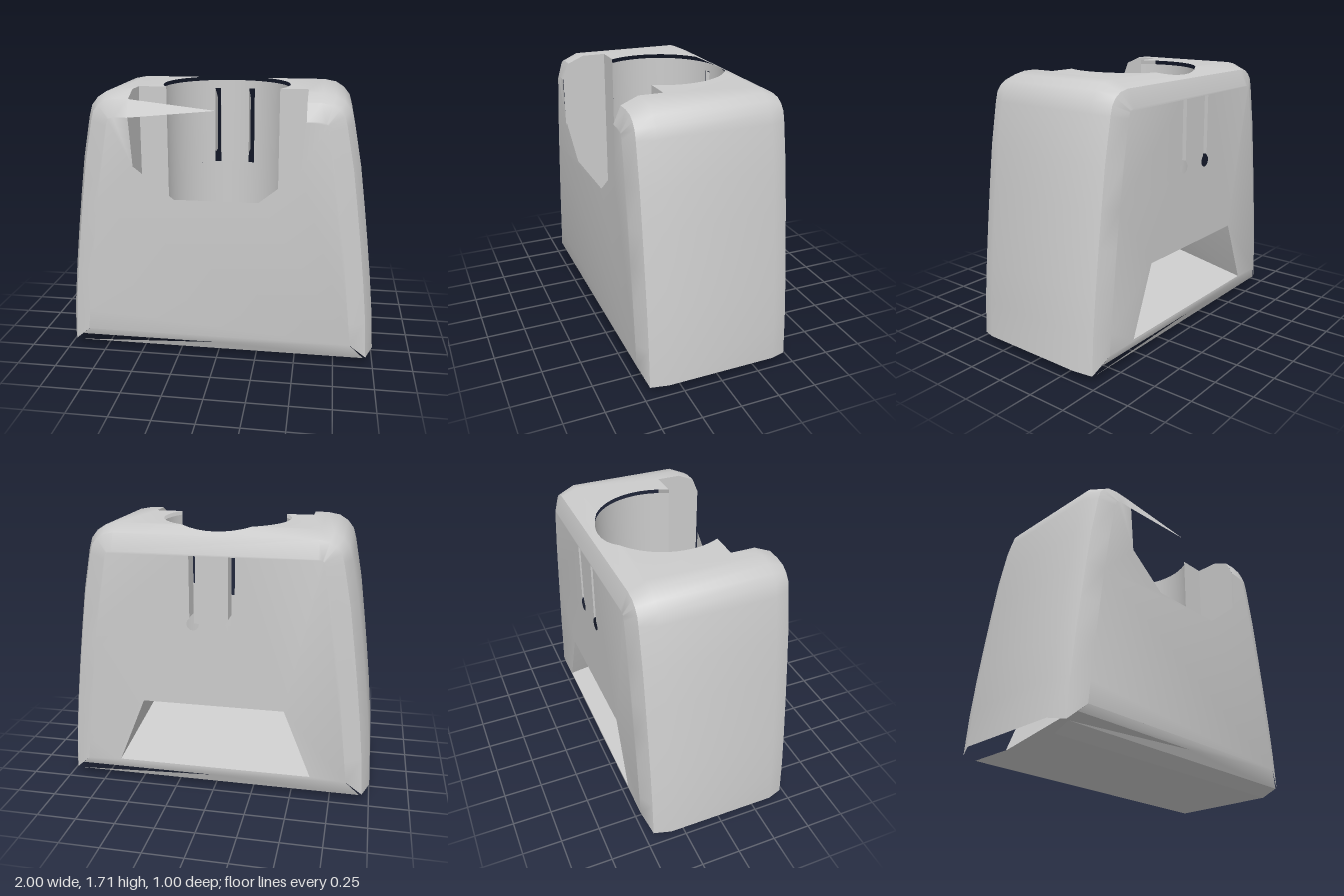
import * as THREE from 'three';
import { mergeGeometries, toCreasedNormals } from 'three/addons/utils/BufferGeometryUtils.js';

const H = 1.71, BORE = 0.41, BOX = 0.535, BOXZ = 0.2, TOPX = 0.62;
// rounded edge: [z, inset, y of lower rim], front to back
const RINGS = [[0.5, 0.15, 0.15], [0.455, 0.045, 0.05], [0.35, 0, 0.07],
  [-0.35, 0, 0.07], [-0.455, 0.045, 0.05], [-0.5, 0.15, 0.15]];
const PROFILE = [[1, 0.07], [0.985, 0.3], [0.96, 0.55], [0.93, 0.8], [0.9, 1.03], [0.865, 1.28],
  [0.815, 1.54], [0.795, 1.61], [0.755, 1.66], [0.7, 1.695], [TOPX, H]];
const NOTCH = [[0.53, 1.56], [0.51, 1.26], [0.26, 1.06], [-0.26, 1.06], [-0.51, 1.26], [-0.53, 1.56]];

// inset of the rounded edge at depth z
function inset(z) {
  const a = Math.abs(z);
  if (a <= 0.35) return 0;
  return a < 0.455 ? (a - 0.35) / 0.105 * 0.045 : 0.045 + (a - 0.455) / 0.045 * 0.105;
}

// flat shape whose points are then placed in space by a rule
function panel(points, place, holes = []) {
  const shape = new THREE.Shape(points.map(p => new THREE.Vector2(...p)));
  shape.holes = holes.map(h => new THREE.Path(h.map(p => new THREE.Vector2(...p))));
  const g = new THREE.ShapeGeometry(shape).toNonIndexed();
  const pos = g.attributes.position;
  for (let i = 0; i < pos.count; i++) pos.setXYZ(i, ...place(pos.getX(i), pos.getY(i)));
  return bare(g);
}

function bare(g) {
  g.deleteAttribute('uv');
  g.deleteAttribute('normal');
  return g;
}

function quad(a, b, c, d) {
  const g = new THREE.BufferGeometry();
  g.setAttribute('position', new THREE.Float32BufferAttribute([a, b, c, a, c, d].flat(), 3));
  return g;
}

// outline of the housing, right half, moved inwards
function half(d, foot) {
  return PROFILE.map(([x, y], i) => {
    const a = PROFILE[Math.max(i - 1, 0)], b = PROFILE[Math.min(i + 1, PROFILE.length - 1)];
    let nx = b[1] - a[1], ny = a[0] - b[0];
    if (i === PROFILE.length - 1) { nx = 0; ny = 1; }
    const l = Math.hypot(nx, ny);
    return [x - d * nx / l, i === 0 ? foot : y - d * ny / l];
  });
}

function arc(r, a0, a1, n, cx = 0, cy = 0) {
  return Array.from({ length: n + 1 }, (_, i) => {
    const a = a0 + (a1 - a0) * i / n;
    return [cx + r * Math.cos(a), cy + r * Math.sin(a)];
  });
}

// side wall with its rounded corners
function sideLoft() {
  const rows = RINGS.map(([z, d, foot]) => half(d, foot).map(([x, y]) => [x, y, z]));
  const parts = [];
  for (let j = 0; j < rows.length - 1; j++)
    for (let i = 0; i < PROFILE.length - 1; i++)
      parts.push(quad(rows[j][i], rows[j + 1][i], rows[j + 1][i + 1], rows[j][i + 1]));
  return mergeGeometries(parts);
}

function shellGeometry() {
  const front = (x, y) => [x, y, 0.5];
  const back = (x, y) => [-x, y, -0.5];
  const top = (x, v) => [x, H - inset(v), -v];
  const cap = half(0.15, 0.15);
  const capLeft = cap.map(([x, y]) => [-x, y]).reverse();
  const parts = [sideLoft(), sideLoft().rotateY(Math.PI)];

  // front with notch, back with window and two keyhole slots
  parts.push(panel([...cap, ...NOTCH, ...capLeft], front));
  const slot = s => [...arc(0.04, Math.PI * 2 / 3, Math.PI * 7 / 3, 10, s * 0.12, 1.13),
    [s * 0.12 + 0.02, 1.55], [s * 0.12 - 0.02, 1.55]];
  const window_ = [[-0.625, 0.165], [0.625, 0.165], [0.45, 0.6], [-0.45, 0.6]];
  parts.push(panel([...cap, ...capLeft], back, [slot(1), slot(-1), window_]));

  // top, cut by the round bore and the wide front recess
  const aBox = Math.asin(-BOXZ / BORE), aBack = Math.asin(0.35 / BORE);
  const right = arc(BORE, aBox, aBack, 16);
  const left = right.map(([x, v]) => [-x, v]).reverse();
  const bx = right[16][0];
  for (const s of [1, -1]) {
    const pts = [[BOX, -0.35], [TOPX, -0.35], [TOPX, 0.35], [bx, 0.35],
      ...right.slice(0, 16).reverse(), [BOX, -BOXZ]];
    const m = pts.map(([x, v]) => [s * x, v]);
    parts.push(panel(m, top));
    for (const [v0, v1] of [[-0.455, -0.35], [-0.5, -0.455]])
      parts.push(panel([[s * BOX, v0], [s * TOPX, v0], [s * TOPX, v1], [s * BOX, v1]], top));
  }
  const rear = arc(BORE, Math.PI - aBack, aBack, 8);
  parts.push(panel([[-TOPX, 0.35], ...rear, [TOPX, 0.35], [TOPX, 0.455], [-TOPX, 0.455]], top));
  parts.push(panel([[-TOPX, 0.455], [TOPX, 0.455], [TOPX, 0.5], [-TOPX, 0.5]], top));
  // pointed tab left over the notch
  parts.push(quad([-BOX, 1.56, 0.5], [0, 1.61, 0.479], [-BOX, 1.665, 0.455], [-BOX, 1.665, 0.455]));

  // lower rounded edge with its long thin gap
  const lip = [[-0.9, 0.1], [0, 0.1], [-0.94, 0.045], [0.94, 0.045], [0.85, 0.15], [-0.85, 0.15]];
  const lipZ = y => 0.455 + (y - 0.045) / 0.105 * 0.045;
  parts.push(panel(lip, (x, y) => [x, y, lipZ(y)]));
  parts.push(panel(lip, (x, y) => [-x, y, -lipZ(y)]));
  return toCreasedNormals(mergeGeometries(parts), 0.6);
}

function baseGeometry() {
  const strip = () => quad([-0.94, 0, 0.35], [0.94, 0, 0.35], [0.94, 0.045, 0.455], [-0.94, 0.045, 0.455]);
  const plate = panel([[-0.94, -0.35], [0.94, -0.35], [0.94, 0.35], [-0.94, 0.35]], (x, v) => [x, 0, v]);
  return toCreasedNormals(mergeGeometries([plate, strip(), strip().rotateY(Math.PI)]), 0.3);
}

// round wall of the bore, left open at the two slots
function boreGeometry() {
  const end = Math.acos(-BOXZ / BORE), s0 = Math.asin(0.1 / BORE), s1 = Math.asin(0.14 / BORE);
  const wall = (a0, a1, y0, y1) => {
    const n = Math.max(1, Math.ceil((a1 - a0) / 0.12));
    const g = new THREE.CylinderGeometry(BORE, BORE, y1 - y0, n, 1, true, Math.PI + a0, a1 - a0);
    return g.translate(0, (y0 + y1) / 2, 0);
  };
  const parts = [wall(-end, end, 0.6, 1.1), wall(-s0, s0, 1.1, 1.685)];
  for (const s of [1, -1]) {
    parts.push(s > 0 ? wall(s1, end, 1.1, 1.685) : wall(-end, -s1, 1.1, 1.685));
    parts.push(s > 0 ? wall(s0, s1, 1.63, 1.685) : wall(-s1, -s0, 1.63, 1.685));
  }
  return mergeGeometries(parts);
}

// straight walls of the front recess
function recessGeometry() {
  const parts = [];
  const side = [[BOXZ, 0.3], [0.495, 0.3], [0.495, 1.57], [0.455, 1.665], [0.35, H], [BOXZ, H]];
  for (const s of [1, -1]) {
    parts.push(panel(side, (z, y) => [s * BOX, y, z]));
    parts.push(quad([s * 0.358, 0.3, BOXZ], [s * BOX, 0.3, BOXZ], [s * BOX, H, BOXZ], [s * 0.358, H, BOXZ]));
  }
  parts.push(panel([[-BOX, 0.3], [BOX, 0.3], ...NOTCH.slice(1, 5)], (x, y) => [x, y, 0.495]));
  return toCreasedNormals(mergeGeometries(parts), 0.3);
}

// sloping chute from the recess down to the back window
function chuteGeometry() {
  const parts = [
    quad([-0.625, 0.165, -0.5], [-0.6, 0.3, BOXZ], [0.6, 0.3, BOXZ], [0.625, 0.165, -0.5]),
    quad([-BOX, 0.3, BOXZ], [-BOX, 0.3, 0.495], [BOX, 0.3, 0.495], [BOX, 0.3, BOXZ]),
    panel([[-0.45, -BOXZ], [-0.358, -BOXZ],
      ...arc(BORE, Math.PI * 1.15, -Math.PI * 0.15, 24),
      [0.358, -BOXZ], [0.45, -BOXZ], [0.45, 0.5], [-0.45, 0.5]], (x, v) => [x, 0.6, -v]),
  ];
  for (const s of [1, -1]) {
    parts.push(quad([s * 0.625, 0.165, -0.5], [s * 0.45, 0.6, -0.5], [s * 0.45, 0.6, BOXZ], [s * 0.6, 0.3, BOXZ]));
    // cheeks of the keyhole slots
    for (const x of [s * 0.1, s * 0.14])
      parts.push(quad([x, 1.17, -0.5], [x, 1.17, -0.39], [x, 1.63, -0.39], [x, 1.55, -0.5]));
  }
  return toCreasedNormals(mergeGeometries(parts), 0.3);
}

export function createModel() {
  const group = new THREE.Group();
  const solid = new THREE.MeshStandardMaterial({ color: 0xcccccc });
  const thin = new THREE.MeshStandardMaterial({ color: 0xcccccc, side: THREE.DoubleSide });
  const add = (name, geometry, material) => {
    const mesh = new THREE.Mesh(geometry, material);
    mesh.name = name;
    group.add(mesh);
  };
  add('housing', shellGeometry(), solid);
  add('basePlate', baseGeometry(), solid);
  add('roundBore', boreGeometry(), thin);
  add('frontRecess', recessGeometry(), thin);
  add('chute', chuteGeometry(), thin);
  return group;
}
